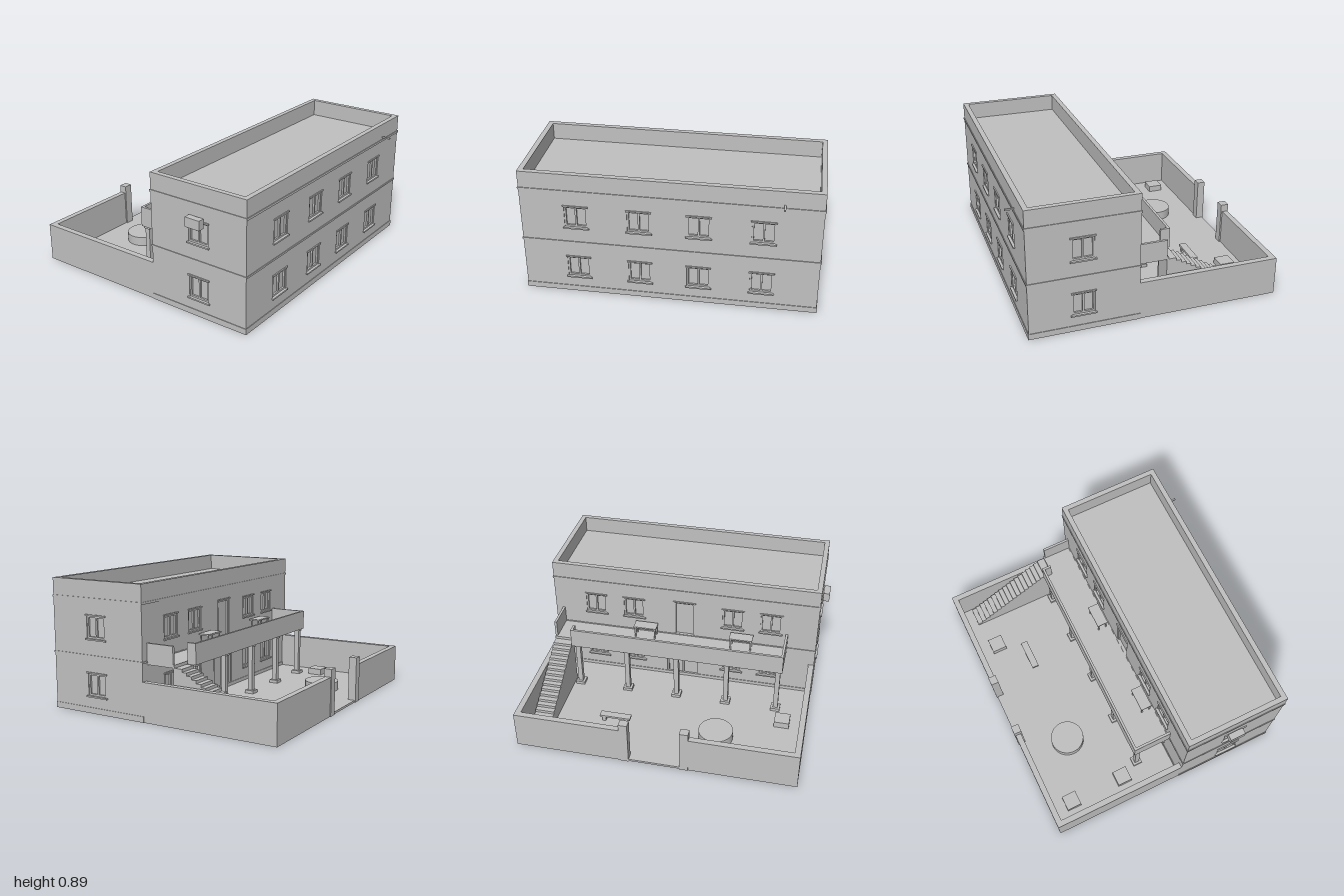
import * as THREE from 'three';

const plaster = new THREE.MeshStandardMaterial({ color: 0xc0c0c0 });
plaster.name = 'plaster grey';

// Box given by its min / max limits on each axis
function box(parent, name, x0, x1, y0, y1, z0, z1) {
  const m = new THREE.Mesh(new THREE.BoxGeometry(x1 - x0, y1 - y0, z1 - z0), plaster);
  m.position.set((x0 + x1) / 2, (y0 + y1) / 2, (z0 + z1) / 2);
  m.name = name;
  parent.add(m);
  return m;
}

// Frame, mullion, sill and lintel of one opening, in wall space (outside is z = 0)
function fitOpening(wall, { x, y, w, h, door }) {
  const g = new THREE.Group();
  g.name = door ? 'door' : 'window';
  const t = 0.012, back = -0.018, front = -0.006;
  const l = x - w / 2, r = x + w / 2, top = y + h;
  box(g, 'frameSide', l, l + t, y, top, back, front);
  box(g, 'frameSide', r - t, r, y, top, back, front);
  box(g, 'frameTop', l + t, r - t, top - t, top, back, front);
  box(g, 'lintel', l - 0.008, r + 0.008, top, top + 0.01, -0.01, 0.008);
  if (door) {
    if (w > 0.2) box(g, 'mullion', x - 0.006, x + 0.006, y, top - t, back, front);
  } else {
    box(g, 'frameBottom', l + t, r - t, y, y + t, back, front);
    box(g, 'mullion', x - 0.006, x + 0.006, y + t, top - t, back, front);
    box(g, 'sill', l - 0.01, r + 0.01, y - 0.01, y, -0.01, 0.012);
  }
  wall.add(g);
}

// Wall slab with openings cut through it
function makeWall(name, length, height, thick, openings) {
  const g = new THREE.Group();
  g.name = name;
  const rect = (T, x0, x1, y0, y1) => {
    const p = new T();
    p.moveTo(x0, y0); p.lineTo(x1, y0); p.lineTo(x1, y1); p.lineTo(x0, y1); p.closePath();
    return p;
  };
  const shape = rect(THREE.Shape, -length / 2, length / 2, 0, height);
  for (const o of openings) {
    shape.holes.push(rect(THREE.Path, o.x - o.w / 2, o.x + o.w / 2, o.y, o.y + o.h));
  }
  const geo = new THREE.ExtrudeGeometry(shape, { depth: thick, bevelEnabled: false });
  geo.translate(0, 0, -thick);
  const slab = new THREE.Mesh(geo, plaster);
  slab.name = 'wallSlab';
  g.add(slab);
  openings.forEach(o => fitOpening(g, o));
  return g;
}

export function createModel() {
  const model = new THREE.Group();
  model.name = 'courtyardHouse';

  // Main limits
  const L = -0.95, R = 0.985, F = 0.82, B = 0.09, H = 0.89, T = 0.035;
  const cx = (L + R) / 2, cz = (F + B) / 2, floorY = 0.015, upperY = 0.39;

  // House: solid core behind four walls with openings
  const house = new THREE.Group();
  house.name = 'house';
  model.add(house);
  box(house, 'coreAndRoof', L + 0.018, R - 0.018, 0.002, 0.775, B + 0.018, F - 0.018);

  const storeys = [0.12, 0.505];
  const windowRow = xs => storeys.flatMap(y => xs.map(x => ({ x, y, w: 0.15, h: 0.15 })));
  const frontWall = makeWall('frontWall', R - L, H, T, windowRow([-0.585, -0.175, 0.21, 0.62].map(x => x - cx)));
  frontWall.position.set(cx, 0, F);
  const backWall = makeWall('backWall', R - L, H, T, [
    ...windowRow([0.67, 0.385, -0.345, -0.62].map(x => cx - x)),
    { x: cx - 0.01, y: upperY + 0.006, w: 0.15, h: 0.275, door: true },
    { x: cx - 0.02, y: floorY, w: 0.24, h: 0.255, door: true },
  ]);
  backWall.position.set(cx, 0, B);
  backWall.rotation.y = Math.PI;
  house.add(frontWall, backWall);
  for (const s of [1, -1]) {
    const side = makeWall(s > 0 ? 'leftWall' : 'rightWall', F - B - 2 * T, H, T, windowRow([s * (cz - 0.463)]));
    side.position.set(s > 0 ? R : L, 0, cz);
    side.rotation.y = s * Math.PI / 2;
    house.add(side);
  }

  // Plinth and string courses running round the house
  for (const [name, y0, y1, d] of [['plinth', 0, 0.04, 0.004], ['floorBand', 0.383, 0.395, 0.005], ['roofBand', 0.76, 0.775, 0.005]]) {
    box(house, name, L - d, R + d, y0, y1, F - 0.01, F + d);
    box(house, name, L - d, R + d, y0, y1, B - d, B + 0.01);
    box(house, name, L - d, L + 0.01, y0, y1, B + 0.01, F - 0.01);
    box(house, name, R - 0.01, R + d, y0, y1, B + 0.01, F - 0.01);
  }

  // Roof drain spout and air conditioner
  box(house, 'drainSpout', 0.735, 0.747, 0.785, 0.795, F - 0.01, 0.88);
  box(house, 'airConditioner', -1, L - 0.006, 0.625, 0.69, 0.4, 0.51);
  for (const z of [0.42, 0.49]) box(house, 'airConditionerBracket', -0.99, L, 0.617, 0.625, z - 0.005, z + 0.005);

  // Courtyard floor, enclosing walls and gate posts
  const yard = new THREE.Group();
  yard.name = 'courtyard';
  model.add(yard);
  const zb = -0.875, wt = 0.04, wh = 0.265;
  box(yard, 'yardFloor', L + 0.001, R - 0.001, 0, floorY, zb + 0.001, B + 0.02);
  box(yard, 'sideWall', L, L + wt, 0, wh, zb + wt, B);
  box(yard, 'sideWall', R - wt, R, 0, wh, zb + wt, B);
  box(yard, 'rearWall', L, -0.19, 0, wh, zb, zb + wt);
  box(yard, 'rearWall', 0.22, R, 0, wh, zb, zb + wt);
  for (const x of [-0.19, 0.22]) box(yard, 'gatePost', x - 0.03, x + 0.03, 0, 0.318, -0.88, -0.825);

  // Planters, round basin and bench
  for (const [x, z] of [[-0.78, -0.705], [0.575, -0.705], [-0.78, -0.295]]) {
    box(yard, 'planter', x - 0.053, x + 0.053, floorY, 0.06, z - 0.053, z + 0.053);
  }
  const basin = new THREE.Mesh(new THREE.CylinderGeometry(0.12, 0.12, 0.065, 40), plaster);
  basin.name = 'roundBasin';
  basin.position.set(-0.345, floorY + 0.0325, -0.535);
  yard.add(basin);
  box(yard, 'benchSeat', 0.27, 0.49, 0.05, 0.065, -0.54, -0.49);
  for (const x of [0.3, 0.46]) box(yard, 'benchLeg', x - 0.012, x + 0.012, floorY, 0.05, -0.535, -0.495);

  // Balcony slab, landing and parapets
  const balcony = new THREE.Group();
  balcony.name = 'balcony';
  model.add(balcony);
  const by = 0.37, top = 0.51, bz = -0.185, bl = -0.745;
  box(balcony, 'balconySlab', bl, 0.79, by, upperY, bz, B);
  box(balcony, 'landingSlab', 0.79, 0.935, by, upperY, -0.12, B);
  box(balcony, 'rearParapet', bl, 0.79, upperY, top, bz, bz + 0.017);
  box(balcony, 'endParapet', bl, bl + 0.017, upperY, top, bz + 0.017, B);
  box(balcony, 'stairParapet', 0.773, 0.79, upperY, top, bz + 0.017, -0.12);
  box(balcony, 'landingParapet', 0.918, 0.935, upperY, top, -0.11, B);

  // Columns with square bases and caps
  for (let i = 0; i < 5; i++) {
    const x = 0.75 - i * 0.366, z = -0.148;
    const column = new THREE.Group();
    column.name = 'column';
    box(column, 'columnBase', x - 0.033, x + 0.033, floorY, 0.037, z - 0.033, z + 0.033);
    box(column, 'columnShaft', x - 0.017, x + 0.017, 0.037, 0.355, z - 0.017, z + 0.017);
    box(column, 'columnCap', x - 0.024, x + 0.024, 0.355, by, z - 0.024, z + 0.024);
    balcony.add(column);
  }

  // Balcony tables
  for (const x of [0.285, -0.418]) {
    const table = new THREE.Group();
    table.name = 'table';
    box(table, 'tableTop', x - 0.083, x + 0.083, 0.472, 0.482, -0.01, 0.07);
    for (const dx of [-0.072, 0.072]) for (const z of [0.001, 0.059]) {
      box(table, 'tableLeg', x + dx - 0.005, x + dx + 0.005, upperY, 0.472, z - 0.005, z + 0.005);
    }
    balcony.add(table);
  }

  // Solid staircase, extruded sideways from its stepped outline
  const n = 18, z0 = -0.77, z1 = -0.14, run = (z1 - z0) / n, rise = (upperY - floorY) / (n + 1);
  const outline = new THREE.Shape();
  outline.moveTo(-z0, floorY);
  for (let i = 0; i < n; i++) {
    outline.lineTo(-z0 - i * run, floorY + (i + 1) * rise);
    outline.lineTo(-z0 - (i + 1) * run, floorY + (i + 1) * rise);
  }
  outline.lineTo(0.11, floorY + n * rise);
  outline.lineTo(0.11, floorY);
  const stairGeo = new THREE.ExtrudeGeometry(outline, { depth: 0.135, bevelEnabled: false });
  stairGeo.rotateY(Math.PI / 2);
  const stairs = new THREE.Mesh(stairGeo, plaster);
  stairs.name = 'staircase';
  stairs.position.x = 0.797;
  model.add(stairs);

  return model;
}
